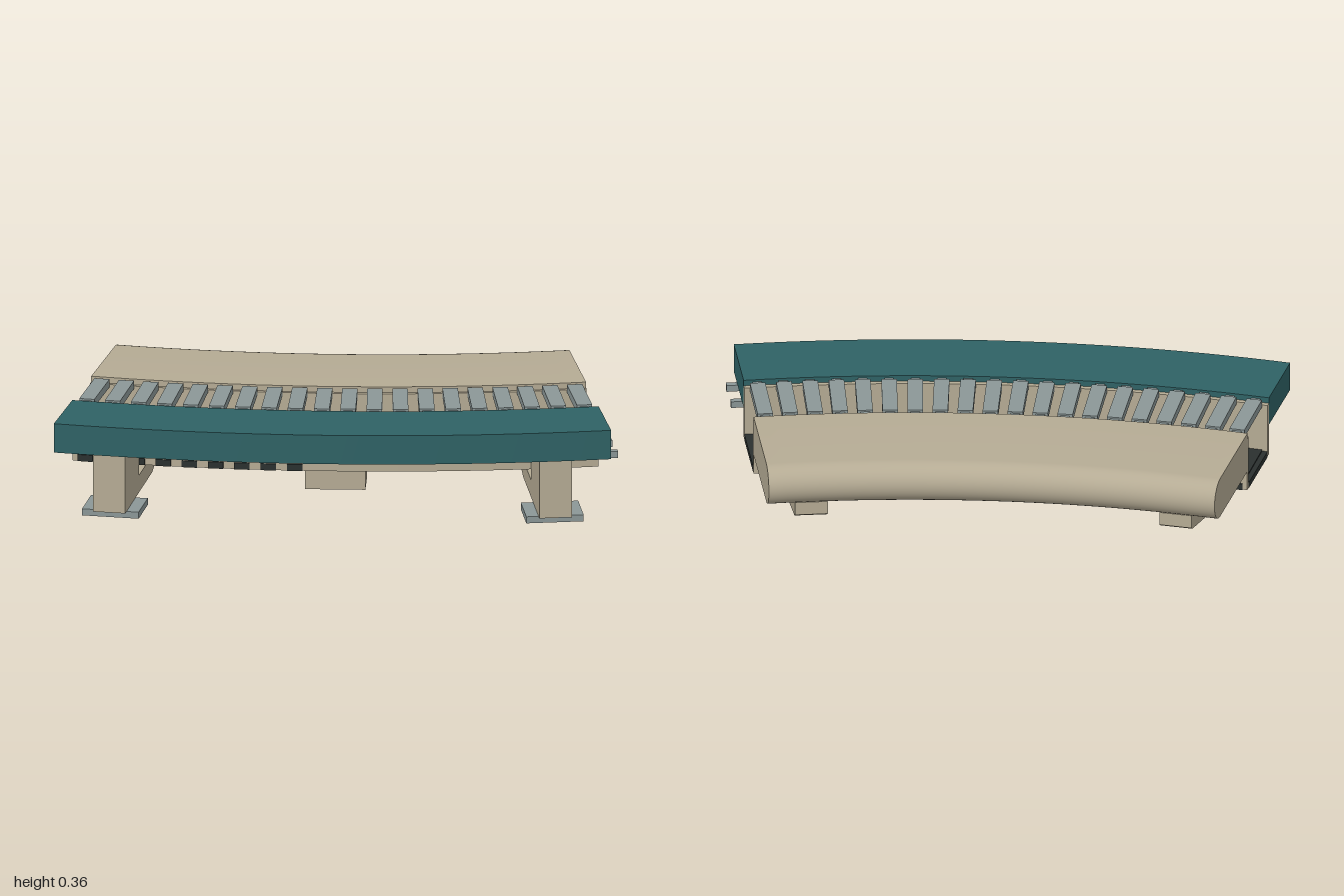
import * as THREE from 'three';
import { toCreasedNormals } from 'three/addons/utils/BufferGeometryUtils.js';

const SPAN = THREE.MathUtils.degToRad(22.5); // bend angle
const CX = -1, CZ = -4.52; // centre of the bend

const paint = (name, color) => {
  const m = new THREE.MeshStandardMaterial({ color });
  m.name = name;
  return m;
};

export function createModel() {
  const tan = paint('tan', 0xb5ab94);
  const teal = paint('teal', 0x2f6265);
  const grey = paint('grey', 0x8b9797);
  const dark = paint('dark', 0x2a302f);

  const model = new THREE.Group();
  model.name = 'curvedConveyor';
  const bend = new THREE.Group();
  bend.name = 'bend';
  bend.position.set(CX, 0, CZ);
  model.add(bend);

  const add = (parent, name, geo, mat) => {
    const mesh = new THREE.Mesh(geo, mat);
    mesh.name = name;
    parent.add(mesh);
    return mesh;
  };

  // Sweep a shape drawn in (radius, height) around the bend
  const sweep = (name, shape, mat, a0 = 0, a1 = SPAN) => {
    const steps = Math.max(1, Math.round((a1 - a0) / SPAN * 24));
    const geo = new THREE.ExtrudeGeometry(shape, { depth: 1, steps, bevelEnabled: false, curveSegments: 10 });
    const p = geo.attributes.position;
    for (let i = 0; i < p.count; i++) {
      const r = p.getX(i), a = a1 - p.getZ(i) * (a1 - a0);
      p.setXYZ(i, r * Math.sin(a), p.getY(i), r * Math.cos(a));
    }
    return add(bend, name, toCreasedNormals(geo, 0.5), mat);
  };
  const poly = (pts) => new THREE.Shape(pts.map(([x, y]) => new THREE.Vector2(x, y)));
  const rect = (r0, r1, y0, y1) => poly([[r0, y0], [r1, y0], [r1, y1], [r0, y1]]);

  // Group turned to an angle on the bend: local x runs along it, local z is the radius
  const station = (name, angle) => {
    const g = new THREE.Group();
    g.name = name;
    g.rotation.y = angle;
    bend.add(g);
    return g;
  };
  const box = (parent, name, mat, w, y0, y1, r0, r1, x = 0) => {
    const mesh = add(parent, name, new THREE.BoxGeometry(w, y1 - y0, r1 - r0), mat);
    mesh.position.set(x, (y0 + y1) / 2, (r0 + r1) / 2);
    return mesh;
  };

  // Inner deck with a rounded edge
  const deck = new THREE.Shape();
  deck.moveTo(4.242, 0.205);
  deck.lineTo(4.617, 0.205);
  deck.lineTo(4.617, 0.36);
  deck.lineTo(4.242, 0.36);
  deck.absarc(4.242, 0.2825, 0.0775, Math.PI / 2, Math.PI * 1.5, false);
  sweep('innerDeck', deck, tan);

  // Outer rim and the two walls of the roller channel
  sweep('outerRim', rect(4.91, 5.2, 0.25, 0.36), teal);
  sweep('innerWall', rect(4.612, 4.632, 0.13, 0.338), tan);
  sweep('outerWall', rect(4.89, 4.909, 0.13, 0.338), tan);

  // Channel floor, open in the middle above the chute
  const mid = SPAN / 2, gap = 0.11 / 4.76;
  sweep('floorStart', rect(4.632, 4.89, 0.127, 0.15), dark, 0, mid - gap);
  sweep('floorEnd', rect(4.632, 4.89, 0.127, 0.15), dark, mid + gap, SPAN);
  sweep('floorInnerStrip', rect(4.632, 4.675, 0.127, 0.15), dark, mid - gap, mid + gap);
  sweep('floorOuterStrip', rect(4.845, 4.89, 0.127, 0.15), dark, mid - gap, mid + gap);

  // Open chute under the middle
  const chute = station('chute', mid);
  for (const s of [-1, 1]) {
    box(chute, 'chuteSide', tan, 0.015, 0.04, 0.15, 4.675, 4.845, s * 0.1025);
    const r = 4.76 + s * 0.0775;
    box(chute, 'chuteEnd', tan, 0.19, 0.04, 0.15, r - 0.0075, r + 0.0075);
  }

  // Flat rollers with end pegs, and floor tabs through the walls of the first half
  const count = 20, pitch = SPAN / count;
  for (let i = 0; i < count; i++) {
    const g = station('roller', (i + 0.5) * pitch);
    box(g, 'rollerBar', grey, 0.056, 0.33, 0.36, 4.637, 4.885);
    box(g, 'rollerPeg', grey, 0.034, 0.338, 0.354, 4.62, 4.905);
    if (i < 9) box(g, 'floorTab', dark, 0.056, 0.13, 0.155, 4.607, 4.914);
  }

  // Bracket legs with foot plates and dark spacers
  const legShape = poly([[4.67, 0.025], [5.17, 0.025], [5.17, 0.25], [4.91, 0.25], [4.91, 0.09],
    [4.617, 0.09], [4.617, 0.205], [4.22, 0.205], [4.22, 0.155], [4.235, 0.145]]);
  const legAngle = THREE.MathUtils.degToRad(2.2);
  for (const [name, angle] of [['rightLeg', legAngle], ['leftLeg', SPAN - legAngle]]) {
    const g = station(name, angle);
    const geo = new THREE.ExtrudeGeometry(legShape, { depth: 0.12, bevelEnabled: false });
    geo.translate(0, 0, -0.06);
    geo.rotateY(-Math.PI / 2);
    add(g, 'legBracket', geo, tan);
    box(g, 'footPlate', grey, 0.21, 0, 0.025, 4.975, 5.145);
    for (const r of [4.667, 4.85]) box(g, 'spacer', dark, 0.08, 0.09, 0.13, r - 0.03, r + 0.03);
  }

  // Joining pins under the end of the rim
  const end = station('joiningPins', SPAN);
  for (const r of [4.97, 5.1]) box(end, 'pin', grey, 0.13, 0.225, 0.25, r - 0.012, r + 0.012, -0.025);

  return model;
}
